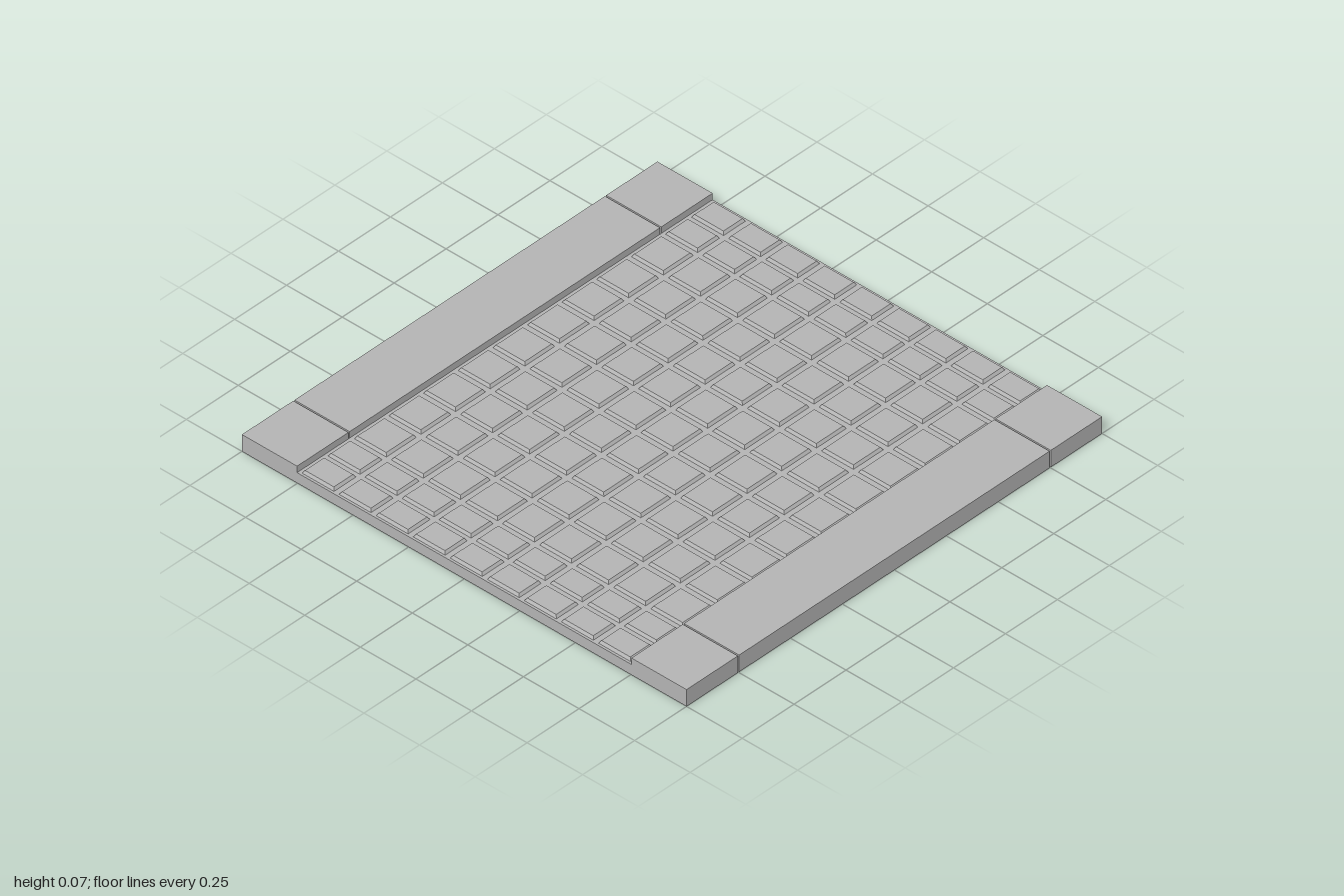
import * as THREE from 'three';

const stone = new THREE.MeshStandardMaterial({ color: 0xb4b4b4 });
stone.name = 'grey stone';

// Box between two corners
function block(name, x0, x1, y0, y1, z0, z1) {
  const mesh = new THREE.Mesh(new THREE.BoxGeometry(x1 - x0, y1 - y0, z1 - z0), stone);
  mesh.name = name;
  mesh.position.set((x0 + x1) / 2, (y0 + y1) / 2, (z0 + z1) / 2);
  return mesh;
}

// Paving stone whose top is drawn in by a small bevel
function pavingGeometry(width, height, depth, inset) {
  const geometry = new THREE.BoxGeometry(width, height, depth);
  const p = geometry.attributes.position;
  for (let i = 0; i < p.count; i++) {
    if (p.getY(i) > 0) {
      p.setX(i, p.getX(i) - Math.sign(p.getX(i)) * inset);
      p.setZ(i, p.getZ(i) - Math.sign(p.getZ(i)) * inset);
    }
  }
  geometry.computeVertexNormals();
  return geometry;
}

export function createModel() {
  const model = new THREE.Group();
  model.name = 'pavedRoad';

  const roadTop = 0.043, stoneTop = 0.054, curbTop = 0.07;
  const curbInner = 0.752, seam = 0.75, gap = 0.003;

  // Road bed
  model.add(block('roadBed', -curbInner, curbInner, 0, roadTop, -1, 1));

  // Kerbs: a long slab between two end slabs on each side
  for (const side of [-1, 1]) {
    const curb = new THREE.Group();
    curb.name = side > 0 ? 'leftKerb' : 'rightKerb';
    const x0 = side > 0 ? curbInner : -1;
    const x1 = side > 0 ? 1 : -curbInner;
    curb.add(block('kerbMiddle', x0, x1, 0, curbTop, -seam + gap, seam - gap));
    curb.add(block('kerbFrontEnd', x0, x1, 0, curbTop, seam + gap, 1));
    curb.add(block('kerbBackEnd', x0, x1, 0, curbTop, -1, -seam - gap));
    model.add(curb);
  }

  // Paving: nine rows of square stones, two rows of shorter ones at each end
  const height = stoneTop - roadTop;
  const square = pavingGeometry(0.144, height, 0.144, 0.007);
  const short = pavingGeometry(0.144, height, 0.106, 0.007);
  const rows = [];
  for (let r = -4; r <= 4; r++) rows.push([r / 6, square]);
  for (const z of [0.8125, 0.9375]) rows.push([z, short], [-z, short]);

  const paving = new THREE.Group();
  paving.name = 'paving';
  for (const [z, geometry] of rows) {
    for (let c = -4; c <= 4; c++) {
      const tile = new THREE.Mesh(geometry, stone);
      tile.name = 'pavingStone';
      tile.position.set(c / 6, roadTop + height / 2, z);
      paving.add(tile);
    }
  }
  model.add(paving);
  return model;
}
